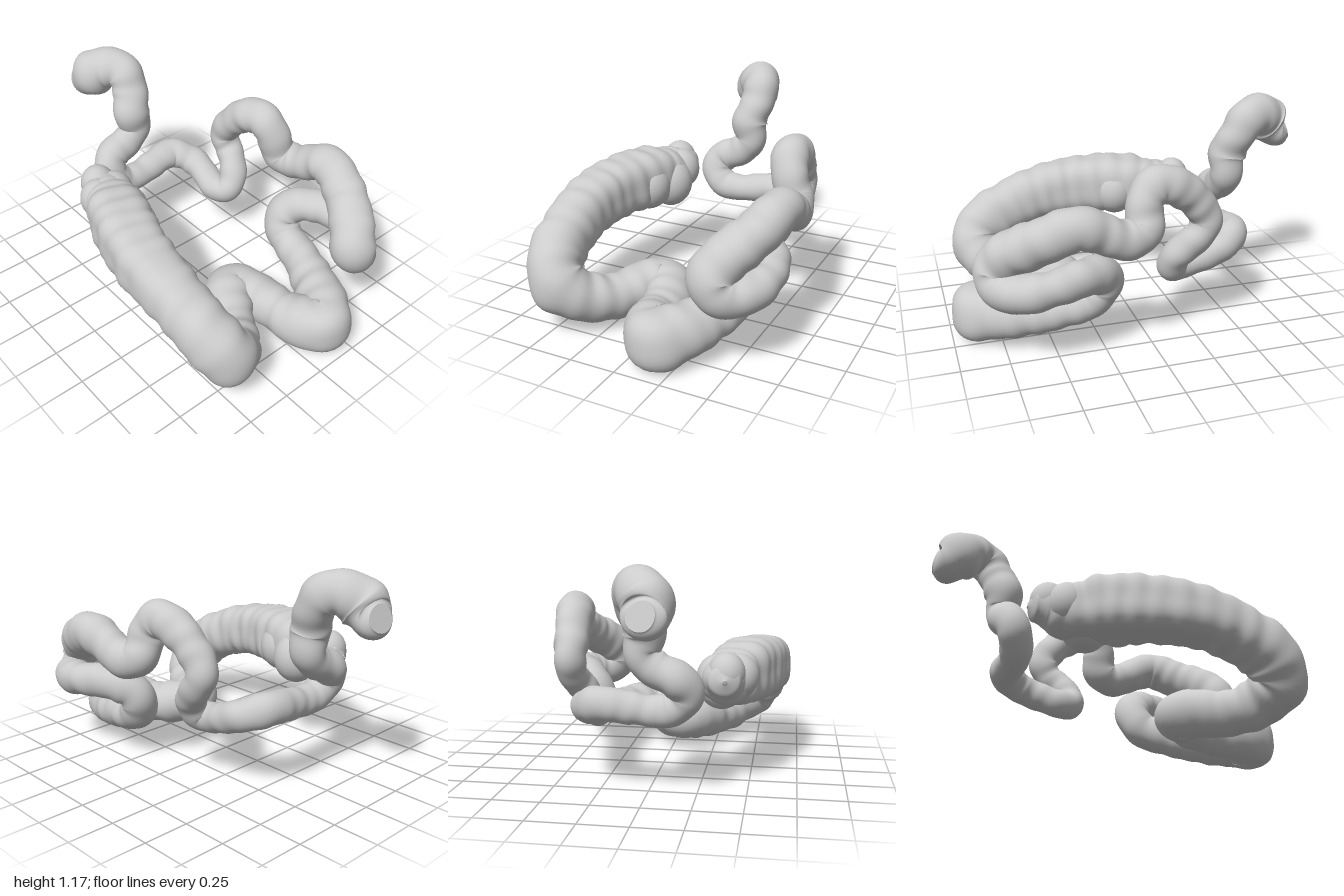
import * as THREE from 'three';

// Centre-line stations of each section: x, y, z, radius (continuous from one section to the next)
const SECTIONS = {
  rectum: [
    [-0.05, 0.975, -0.99, 0.07], [-0.06, 0.965, -0.94, 0.11], [-0.065, 1.02, -0.87, 0.13], [-0.02, 1.07, -0.80, 0.118],
    [0.03, 1.06, -0.71, 0.107], [0.03, 0.97, -0.65, 0.10], [-0.005, 0.85, -0.605, 0.105], [0.02, 0.75, -0.605, 0.09],
  ],
  sigmoidColon: [
    [-0.05, 0.67, -0.60, 0.09], [-0.165, 0.62, -0.60, 0.095], [-0.205, 0.54, -0.56, 0.09], [-0.13, 0.455, -0.54, 0.085],
    [0, 0.45, -0.54, 0.08], [0.13, 0.47, -0.55, 0.085], [0.245, 0.48, -0.55, 0.09], [0.33, 0.44, -0.45, 0.085],
    [0.335, 0.40, -0.34, 0.08], [0.32, 0.36, -0.22, 0.08], [0.36, 0.375, -0.15, 0.08],
  ],
  descendingColon: [
    [0.42, 0.48, -0.17, 0.08], [0.46, 0.57, -0.26, 0.08], [0.455, 0.66, -0.305, 0.085], [0.46, 0.77, -0.24, 0.09],
    [0.48, 0.87, -0.12, 0.10], [0.49, 0.89, -0.01, 0.10], [0.51, 0.81, 0.055, 0.095], [0.55, 0.68, 0.065, 0.10],
    [0.58, 0.65, 0.16, 0.10], [0.59, 0.70, 0.28, 0.10], [0.60, 0.755, 0.41, 0.11], [0.55, 0.68, 0.58, 0.115],
    [0.46, 0.60, 0.72, 0.12], [0.41, 0.50, 0.785, 0.12],
  ],
  splenicLoop: [
    [0.47, 0.425, 0.765, 0.11], [0.57, 0.43, 0.68, 0.10], [0.60, 0.45, 0.55, 0.09], [0.565, 0.47, 0.40, 0.095],
    [0.48, 0.44, 0.27, 0.10], [0.43, 0.36, 0.24, 0.10], [0.41, 0.27, 0.30, 0.10],
  ],
  transverseColon: [
    [0.385, 0.23, 0.45, 0.105], [0.33, 0.20, 0.60, 0.12], [0.26, 0.185, 0.74, 0.14], [0.155, 0.165, 0.855, 0.155],
    [0.075, 0.16, 0.76, 0.14], [0.05, 0.15, 0.62, 0.12], [0.01, 0.18, 0.45, 0.125], [-0.07, 0.20, 0.355, 0.13],
    [-0.16, 0.19, 0.44, 0.13], [-0.24, 0.17, 0.57, 0.12], [-0.34, 0.20, 0.70, 0.13],
  ],
  ascendingColon: [
    [-0.46, 0.29, 0.78, 0.15], [-0.52, 0.40, 0.71, 0.15], [-0.54, 0.48, 0.56, 0.148], [-0.55, 0.54, 0.40, 0.153],
    [-0.54, 0.575, 0.20, 0.163], [-0.49, 0.59, 0, 0.172], [-0.445, 0.59, -0.14, 0.172],
  ],
  caecum: [
    [-0.41, 0.58, -0.24, 0.155], [-0.38, 0.58, -0.33, 0.14], [-0.375, 0.60, -0.42, 0.11],
    [-0.38, 0.60, -0.49, 0.08], [-0.385, 0.60, -0.53, 0.01],
  ],
};
const STEPS = 12, SIDES = 36;

export function createModel() {
  const group = new THREE.Group();
  group.name = 'largeIntestine';
  const material = new THREE.MeshStandardMaterial({ color: 0xcccccc });
  const add = (name, geometry) => {
    const mesh = new THREE.Mesh(geometry, material);
    mesh.name = name;
    group.add(mesh);
    return mesh;
  };

  const stations = Object.values(SECTIONS).flat();
  const last = stations.length - 1;
  const curve = new THREE.CatmullRomCurve3(
    stations.map(([x, y, z]) => new THREE.Vector3(x, y, z)), false, 'centripetal');

  // Sweep rings along the softened path, carrying the frame forward without twist
  const positions = [];
  const normal = new THREE.Vector3(1, 0, 0);
  const previous = curve.getPoint(0);
  const reach = 0.35 / last;
  let length = 0;
  const rings = last * STEPS + 1;
  for (let i = 0; i < rings; i++) {
    const t = i / (rings - 1);
    const before = curve.getPoint(Math.max(t - reach, 0));
    const after = curve.getPoint(Math.min(t + reach, 1));
    const tangent = after.clone().sub(before).normalize();
    const centre = curve.getPoint(t).multiplyScalar(2).add(before).add(after).divideScalar(4);
    normal.addScaledVector(tangent, -normal.dot(tangent)).normalize();
    const binormal = tangent.clone().cross(normal);
    length += centre.distanceTo(previous);
    previous.copy(centre);

    const k = Math.min(Math.floor(i / STEPS), last - 1);
    const f = i / STEPS - k;
    const base = THREE.MathUtils.lerp(stations[k][3], stations[k + 1][3], f * f * (3 - 2 * f));
    const squareness = 0.07 * THREE.MathUtils.smoothstep(base, 0.135, 0.165);
    for (let j = 0; j < SIDES; j++) {
      const a = (j / SIDES) * Math.PI * 2;
      const out = normal.clone().multiplyScalar(Math.cos(a)).addScaledVector(binormal, Math.sin(a));
      // Uneven pouches, three lengthwise grooves, and a boxier section where the tube is wide
      const pouch = 0.02 * (Math.sin(length * 58 + Math.sin(a + length * 5)) + Math.sin(length * 36 - 2 * a));
      const bands = 0.02 * Math.cos(3 * a + length * 2);
      const u = out.y * out.y;
      const box = -squareness * (8 * u * u - 8 * u + 1);
      const p = centre.clone().addScaledVector(out, base * (1 + pouch + bands + box));
      positions.push(p.x, p.y, p.z);
    }
  }

  const strip = (from, to) => {
    const index = [];
    for (let i = from; i < to; i++) {
      for (let j = 0; j < SIDES; j++) {
        const n = (j + 1) % SIDES;
        const a = i * SIDES + j, b = i * SIDES + n, c = a + SIDES, d = b + SIDES;
        index.push(a, b, c, b, d, c);
      }
    }
    return index;
  };

  // Normals are found on the whole tube so the sections join without seams
  const whole = new THREE.BufferGeometry();
  whole.setAttribute('position', new THREE.Float32BufferAttribute(positions, 3));
  whole.setIndex(strip(0, rings - 1));
  whole.computeVertexNormals();
  let start = 0;
  for (const [name, points] of Object.entries(SECTIONS)) {
    const end = Math.min(start + points.length * STEPS, rings - 1);
    const part = new THREE.BufferGeometry();
    part.setAttribute('position', whole.attributes.position);
    part.setAttribute('normal', whole.attributes.normal);
    part.setIndex(strip(start, end));
    add(name, part);
    start = end;
  }

  // Flat cap on the lower opening, fanned from the first ring
  const rim = Array.from({ length: SIDES }, (_, j) => new THREE.Vector3().fromArray(positions, j * 3));
  const middle = rim.reduce((sum, p) => sum.add(p), new THREE.Vector3()).divideScalar(SIDES);
  const cap = new THREE.BufferGeometry().setFromPoints(
    rim.flatMap((p, j) => [middle, rim[(j + 1) % SIDES], p]));
  cap.computeVertexNormals();
  add('endCap', cap);

  // Low bulges round the blind end: x, y, z, radius
  const bulges = [
    [-0.345, 0.54, -0.22, 0.13], [-0.335, 0.59, -0.34, 0.11], [-0.40, 0.56, -0.06, 0.125],
    [-0.44, 0.60, -0.33, 0.105], [-0.385, 0.63, -0.42, 0.095],
  ];
  for (const [x, y, z, r] of bulges) {
    const bulge = add('caecumBulge', new THREE.SphereGeometry(r, 28, 18));
    bulge.position.set(x, y, z);
    bulge.scale.y = 1.1;
  }
  return group;
}
